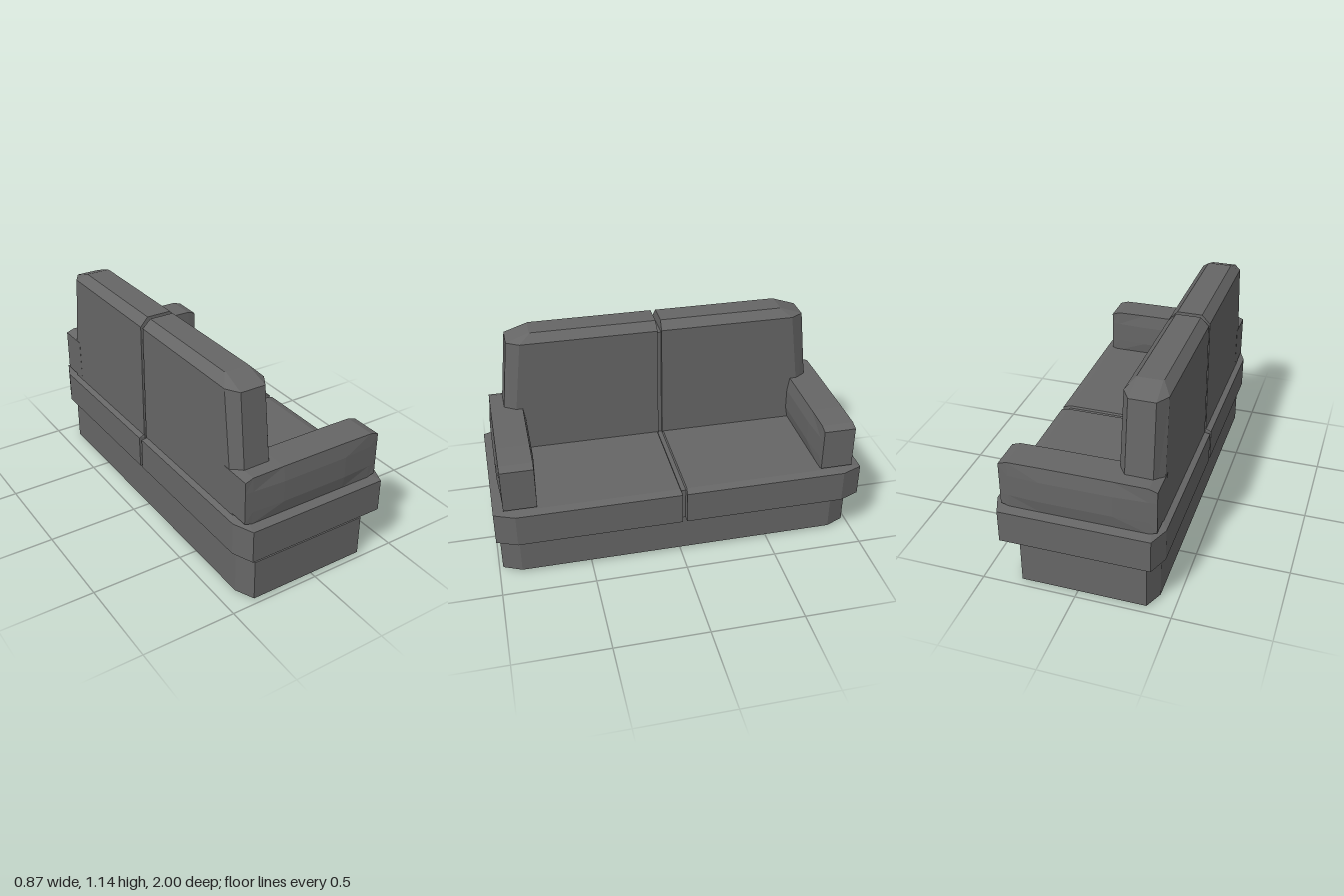
import * as THREE from 'three';

const material = new THREE.MeshStandardMaterial({ color: 0x666666, flatShading: true, roughness: 0.9 });

// Faceted solid through rings of equal point count, capped at both ends.
function loft(name, rings) {
  const tris = [];
  const n = rings[0].length;
  for (let r = 0; r < rings.length - 1; r++) {
    for (let i = 0; i < n; i++) {
      const j = (i + 1) % n;
      const a = rings[r][i], b = rings[r][j], c = rings[r + 1][j], d = rings[r + 1][i];
      tris.push([a, b, c], [a, c, d]);
    }
  }
  const first = rings[0], last = rings[rings.length - 1];
  for (let i = 1; i < n - 1; i++) {
    tris.push([first[0], first[i + 1], first[i]], [last[0], last[i], last[i + 1]]);
  }
  // Turn the faces outward when the rings wind the other way
  const volume = tris.reduce((sum, [a, b, c]) => sum + a.clone().cross(b).dot(c), 0);
  const points = tris.flatMap(([a, b, c]) => (volume < 0 ? [a, c, b] : [a, b, c]));
  const geometry = new THREE.BufferGeometry().setFromPoints(points);
  geometry.computeVertexNormals();
  const mesh = new THREE.Mesh(geometry, material);
  mesh.name = name;
  return mesh;
}

// Horizontal ring of half a sofa: square at the middle seam, chamfered at the outer end.
function halfRing(side, y, x0, x1, z0, z1, cx, cz) {
  return [
    [x0, z0], [x1, z0], [x1, z1 - cz], [x1 - cx, z1], [x0 + cx, z1], [x0, z1 - cz],
  ].map(([x, z]) => new THREE.Vector3(x, y, side * z));
}

// Horizontal ring with all four corners chamfered.
function fullRing(y, x0, x1, z0, z1, cx, cz) {
  return [
    [x0 + cx, z0], [x1 - cx, z0], [x1, z0 + cz], [x1, z1 - cz],
    [x1 - cx, z1], [x0 + cx, z1], [x0, z1 - cz], [x0, z0 + cz],
  ].map(([x, z]) => new THREE.Vector3(x, y, z));
}

// Upright ring of an armrest, with both sides swelling by b.
function armRing(side, x, y0, y1, b) {
  const z0 = 0.772, z1 = 0.946;
  return [
    [z0, y0], [z1, y0], [z1 + b, 0.52], [z1 + b, 0.635],
    [z1, y1], [z0, y1], [z0 - b, 0.635], [z0 - b, 0.52],
  ].map(([z, y]) => new THREE.Vector3(x, y, side * z));
}

function filler(name, w, h, d, x, y) {
  const mesh = new THREE.Mesh(new THREE.BoxGeometry(w, h, d), material);
  mesh.position.set(x, y, 0);
  mesh.name = name;
  return mesh;
}

export function createModel() {
  const sofa = new THREE.Group();
  sofa.name = 'sofa';

  // Plinth
  sofa.add(loft('base', [
    fullRing(0, -0.37, 0.3, -0.88, 0.89, 0.03, 0.07),
    fullRing(0.016, -0.41, 0.34, -0.97, 0.98, 0.045, 0.1),
    fullRing(0.24, -0.41, 0.34, -0.97, 0.98, 0.045, 0.1),
    fullRing(0.258, -0.37, 0.3, -0.88, 0.89, 0.03, 0.07),
  ]));

  for (const side of [1, -1]) {
    const hand = side > 0 ? 'Near' : 'Far';

    // Seat cushion
    sofa.add(loft('seat' + hand, [
      halfRing(side, 0.254, -0.4, 0.395, 0.018, 0.9, 0.03, 0.07),
      halfRing(side, 0.267, -0.438, 0.436, 0.012, 1, 0.045, 0.11),
      halfRing(side, 0.444, -0.438, 0.436, 0.012, 1, 0.045, 0.11),
      halfRing(side, 0.456, -0.4, 0.395, 0.018, 0.9, 0.03, 0.07),
    ]));

    // Back cushion, narrowing upward
    sofa.add(loft('back' + hand, [
      halfRing(side, 0.45, -0.408, -0.18, 0.011, 0.9, 0.042, 0.06),
      halfRing(side, 1.1, -0.404, -0.185, 0.011, 0.828, 0.042, 0.07),
      halfRing(side, 1.145, -0.36, -0.228, 0.014, 0.7, 0.004, 0.006),
    ]));

    // Armrest
    sofa.add(loft('arm' + hand, [
      armRing(side, -0.408, 0.463, 0.695, 0),
      armRing(side, -0.365, 0.45, 0.71, 0.003),
      armRing(side, -0.19, 0.45, 0.712, 0.013),
      armRing(side, 0.18, 0.45, 0.712, 0.013),
      armRing(side, 0.345, 0.45, 0.71, 0.003),
      armRing(side, 0.39, 0.463, 0.695, 0),
    ]));
  }

  // Recessed strips inside the middle seams
  sofa.add(filler('seatSeam', 0.8, 0.18, 0.04, -0.005, 0.355));
  sofa.add(filler('backSeam', 0.19, 0.64, 0.04, -0.295, 0.765));

  return sofa;
}
